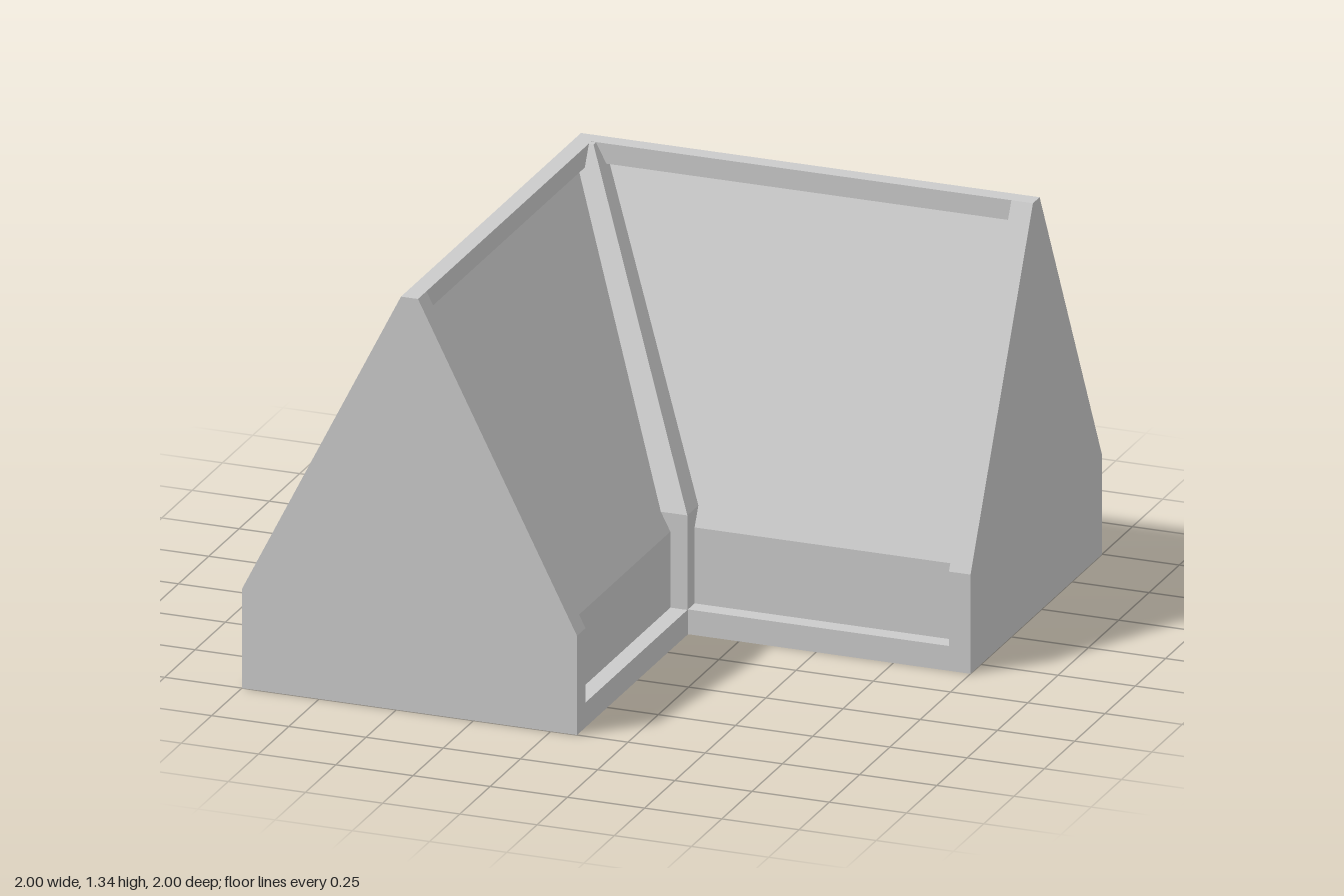
import * as THREE from 'three';

const END = 1, FLANGE = 0.07;

// Gable profiles as [across, height]: recessed skin, and the raised frame outline
const SKIN = [[0.03, 0], [0.03, 0.325], [-0.4575, 1.275], [-0.945, 0.325], [-0.945, 0]];
const OUTLINE = [[0.085, 0], [0.085, 0.32], [-0.43, 1.335], [-0.485, 1.335], [-1, 0.32], [-1, 0]];

const solid = new THREE.MeshStandardMaterial({ color: 0xcccccc, flatShading: true });
const thin = new THREE.MeshStandardMaterial({ color: 0xcccccc, flatShading: true, side: THREE.DoubleSide });

// Joins matching cross-sections; closed ones get end faces
function loft(sections, closed) {
  const out = [], n = sections[0].length;
  const tri = (a, b, c) => out.push(...a, ...b, ...c);
  for (let s = 0; s < sections.length - 1; s++) {
    const p = sections[s], q = sections[s + 1];
    for (let i = 0; i < (closed ? n : n - 1); i++) {
      const j = (i + 1) % n;
      tri(p[i], p[j], q[j]);
      tri(p[i], q[j], q[i]);
    }
  }
  if (closed) {
    const first = sections[0], last = sections[sections.length - 1];
    for (let i = 1; i < n - 1; i++) {
      tri(first[0], first[i + 1], first[i]);
      tri(last[0], last[i], last[i + 1]);
    }
  }
  const geo = new THREE.BufferGeometry();
  geo.setAttribute('position', new THREE.Float32BufferAttribute(out, 3));
  geo.computeVertexNormals();
  return geo;
}

// Runs a profile along both wings with a mitre at the corner
function sweep(profile, closed) {
  return loft([
    profile.map(([a, y]) => [END, y, a]),
    profile.map(([a, y]) => [a, y, a]),
    profile.map(([a, y]) => [a, y, END]),
  ], closed);
}

const rect = (a0, a1, y0, y1) => [[a0, y0], [a1, y0], [a1, y1], [a0, y1]];
const shapeOf = (pts, sign) => new THREE.Shape(pts.map(([a, y]) => new THREE.Vector2(sign * a, y)));

export function createModel() {
  const model = new THREE.Group();
  const add = (name, geo, mat, parent = model) => {
    const mesh = new THREE.Mesh(geo, mat);
    mesh.name = name;
    parent.add(mesh);
    return mesh;
  };

  // Hollow sloping walls and the rails that run round the corner
  add('wallPanels', sweep(SKIN, false), thin);
  add('outerBaseRail', sweep(rect(-1, -0.945, 0, 0.08), true), solid);
  add('innerBaseRail', sweep(rect(0.03, 0.085, 0, 0.08), true), solid);
  add('ridgeRail', sweep(rect(-0.485, -0.43, 1.27, 1.335), true), solid);

  // Gable ends: thin wall with a raised flange around its slopes
  for (const [name, sign, turn] of [['frontGable', 1, 0], ['sideGable', -1, Math.PI / 2]]) {
    const gable = new THREE.Group();
    gable.name = name;
    gable.rotation.y = turn;
    const arch = [...OUTLINE, ...[...SKIN].reverse()];
    const flange = new THREE.ExtrudeGeometry(shapeOf(arch, sign), { depth: FLANGE, bevelEnabled: false });
    flange.translate(0, 0, END - FLANGE);
    add(name + 'Flange', flange, solid, gable);
    const wall = new THREE.ShapeGeometry(shapeOf(SKIN, sign));
    wall.translate(0, 0, END);
    add(name + 'Wall', wall, thin, gable);
    model.add(gable);
  }

  // Post and sloping beam in the inner corner: [height, back, front x, front z]
  const stations = [
    [0, 0.03, 0.085, 0.09],
    [0.325, 0.03, 0.085, 0.09],
    [0.385, -0.001, 0.085, 0.09],
    [1.334, -0.485, -0.415, -0.41],
  ];
  add('valleyBeam', loft(stations.map(([y, b, x, z]) =>
    [[x, y, z], [x, y, b], [b, y, b], [b, y, z]]), true), solid);

  return model;
}
